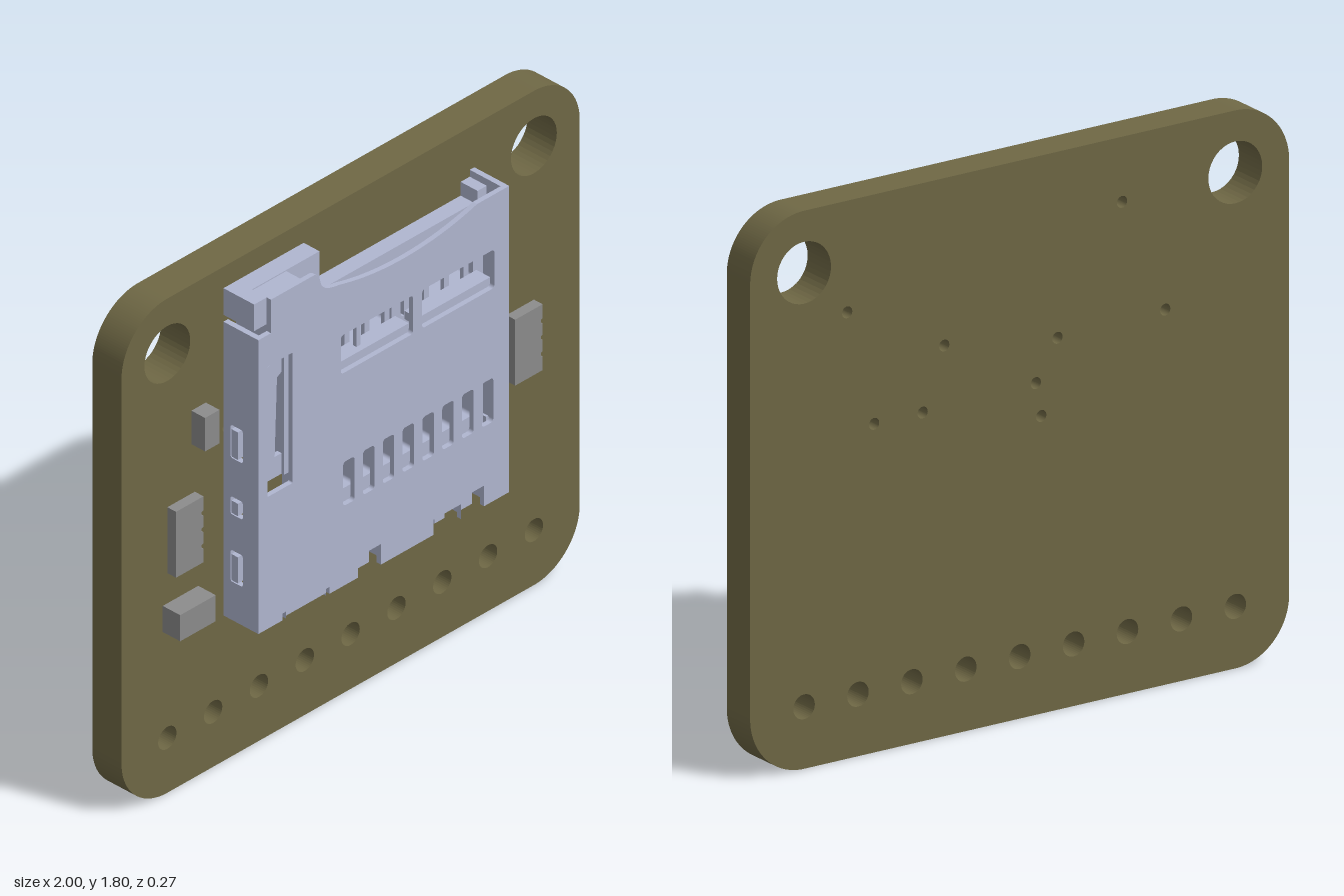
import * as THREE from 'three';

const mat = (color) => new THREE.MeshStandardMaterial({ color, side: THREE.DoubleSide });
const BACK = -0.136, FACE = -0.012, TOP = 0.136;

export function createModel() {
  const root = new THREE.Group();
  root.name = 'cardReaderBoard';
  const olive = mat(0x6f6845), metal = mat(0xb0b6d0), grey = mat(0x8c8c8c);

  const add = (parent, name, geometry, material) => {
    const mesh = new THREE.Mesh(geometry, material);
    mesh.name = name;
    parent.add(mesh);
    return mesh;
  };
  // Box given by its limits on each axis
  const box = (parent, name, x0, x1, y0, y1, z0, z1, material = metal) => {
    const mesh = add(parent, name, new THREE.BoxGeometry(x1 - x0, y1 - y0, z1 - z0), material);
    mesh.position.set((x0 + x1) / 2, (y0 + y1) / 2, (z0 + z1) / 2);
    return mesh;
  };
  const plate = (shape, z0, z1) => new THREE.ExtrudeGeometry(shape, {
    depth: z1 - z0, bevelEnabled: false, curveSegments: 20,
  }).translate(0, 0, z0);
  const rounded = (path, x0, x1, y0, y1, r) => {
    path.moveTo(x0 + r, y0).lineTo(x1 - r, y0);
    path.absarc(x1 - r, y0 + r, r, -Math.PI / 2, 0, false);
    path.absarc(x1 - r, y1 - r, r, 0, Math.PI / 2, false);
    path.absarc(x0 + r, y1 - r, r, Math.PI / 2, Math.PI, false);
    path.absarc(x0 + r, y0 + r, r, Math.PI, Math.PI * 1.5, false);
    return path;
  };
  const slot = (shape, x0, x1, y0, y1, r = 0.012) =>
    shape.holes.push(rounded(new THREE.Path(), x0, x1, y0, y1, r));

  // Circuit board with mounting holes, pin holes and vias
  const boardShape = rounded(new THREE.Shape(), -1, 1, 0, 1.8, 0.2);
  const drill = (x, y, r) =>
    boardShape.holes.push(new THREE.Path().absarc(x, y, r, 0, Math.PI * 2, true));
  for (const x of [-0.8, 0.8]) drill(x, 1.6, 0.1);
  for (let i = 0; i < 9; i++) drill(-0.8 + i * 0.2, 0.2, 0.04);
  const vias = [[0.64, 1.44], [-0.38, 1.59], [0.28, 1.26], [0.54, 1.06], [0.36, 1.06],
    [-0.14, 1.2], [-0.06, 1.07], [-0.08, 0.96], [-0.54, 1.21]];
  for (const [x, y] of vias) drill(x, y, 0.019);
  add(root, 'circuitBoard', plate(boardShape, BACK, FACE), olive);

  // Card socket
  const socket = new THREE.Group();
  socket.name = 'cardSocket';
  root.add(socket);
  const pinX = Array.from({ length: 8 }, (_, i) => -0.16 + i * 0.0865);

  // Pressed metal cover: notched bottom edge, curved card mouth
  const cover = new THREE.Shape();
  cover.moveTo(-0.555, 0.53);
  const notches = [[-0.45, -0.435, 0.555], [-0.435, -0.26, 0.54], [-0.26, -0.245, 0.555],
    [-0.12, -0.02, 0.605], [0.21, 0.33, 0.585], [0.33, 0.43, 0.605]];
  for (const [x0, x1, y] of notches) {
    cover.lineTo(x0, 0.53).lineTo(x0, y).lineTo(x1, y).lineTo(x1, 0.53);
  }
  cover.lineTo(0.54, 0.53).lineTo(0.54, 1.645).lineTo(0.4, 1.645);
  cover.bezierCurveTo(0.2, 1.585, -0.02, 1.585, -0.2, 1.635);
  cover.bezierCurveTo(-0.32, 1.65, -0.26, 1.7, -0.31, 1.722);
  cover.lineTo(-0.5, 1.722).lineTo(-0.5, 1.6).lineTo(-0.555, 1.6).closePath();
  slot(cover, -0.195, 0.12, 1.305, 1.445);
  slot(cover, 0.16, 0.475, 1.305, 1.445);
  for (const x of pinX) slot(cover, x - 0.025, x + 0.025, 0.82, 0.98);
  slot(cover, -0.515, -0.405, 1.01, 1.485, 0.005);
  add(socket, 'socketCover', plate(cover, 0.118, TOP), metal);

  // Side walls with latch windows
  const latches = [[0.67, 0.785], [0.915, 0.98], [1.12, 1.24]];
  const wall = (name, outerX, top) => {
    const shape = new THREE.Shape();
    shape.moveTo(FACE, 0.53).lineTo(0.118, 0.53).lineTo(0.118, top).lineTo(FACE, top).closePath();
    for (const [y0, y1] of latches) slot(shape, 0.018, 0.07, y0, y1, 0.008);
    add(socket, name, plate(shape, 0, 0.02).rotateY(-Math.PI / 2).translate(outerX, 0, 0), metal);
  };
  wall('leftWall', 0.54, 1.645);
  wall('rightWall', -0.535, 1.6);
  for (const [y0, y1] of latches) {
    box(socket, 'leftLatch', 0.522, 0.546, y0 + 0.01, y1 - 0.01, 0.028, 0.055);
    box(socket, 'rightLatch', -0.561, -0.537, y0 + 0.01, y1 - 0.01, 0.028, 0.055);
  }

  // Floor frame with openings below the cover windows
  const floor = rounded(new THREE.Shape(), -0.3, 0.52, 0.55, 1.57, 0.005);
  slot(floor, -0.195, 0.12, 1.305, 1.46);
  slot(floor, 0.16, 0.475, 1.305, 1.46);
  for (const x of pinX) slot(floor, x - 0.028, x + 0.028, 0.8, 1.0);
  add(socket, 'floorFrame', plate(floor, FACE, 0.045), metal);

  // Rear wall, open at the notches
  for (const [x0, x1] of [[-0.535, -0.12], [-0.02, 0.21], [0.43, 0.52]]) {
    box(socket, 'rearWall', x0, x1, 0.555, 0.61, FACE, 0.118);
  }
  box(socket, 'rearTab', -0.1, -0.035, 0.53, 0.59, FACE, 0.1);
  box(socket, 'rearTab', 0.25, 0.295, 0.535, 0.565, FACE, 0.1);
  box(socket, 'rearTab', 0.35, 0.415, 0.53, 0.59, FACE, 0.1);

  // Spring contacts, bent up at the tip
  for (const x of pinX) {
    box(socket, 'contactStrip', x - 0.011, x + 0.011, 1.0, 1.46, 0.03, 0.045);
    box(socket, 'contactTip', x - 0.017, x + 0.017, 0.92, 1.02, 0.055, 0.07).rotation.x = 0.25;
  }
  // Bent flaps in the upper windows
  for (const x of [-0.195, 0.16]) {
    box(socket, 'windowFlap', x, x + 0.315, 1.305, 1.335, 0.06, 0.118);
  }
  box(socket, 'detectArm', -0.085, -0.068, 1.31, 1.42, 0.08, 0.095);

  // Ejector block, spring and slider at the card mouth
  box(socket, 'ejectorBase', -0.5, -0.205, 1.5, 1.722, FACE, 0.055);
  box(socket, 'ejectorBlock', -0.5, -0.35, 1.5, 1.718, 0.055, 0.118);
  box(socket, 'ejectorSlider', -0.35, -0.285, 1.1, 1.64, 0.05, 0.118);
  box(socket, 'mouthPost', -0.555, -0.5, 1.625, 1.722, FACE, 0.118);
  box(socket, 'mouthPost', 0.48, 0.52, 1.57, 1.62, FACE, 0.06);
  const spring = new THREE.Shape();
  spring.moveTo(-0.5, 1.04).lineTo(-0.42, 1.04).lineTo(-0.42, 1.115).lineTo(-0.455, 1.115)
    .lineTo(-0.445, 1.4).lineTo(-0.41, 1.42).lineTo(-0.41, 1.48).lineTo(-0.5, 1.45).closePath();
  add(socket, 'latchSpring', plate(spring, 0.09, 0.108), metal);
  box(socket, 'springRail', -0.425, -0.4, 1.04, 1.49, 0.06, 0.118);

  // Resistor arrays with notched side
  for (const x of [-0.8, 0.68]) {
    const s = new THREE.Shape();
    s.moveTo(x, 0.8).lineTo(x + 0.12, 0.8);
    for (let i = 0; i < 3; i++) {
      const y = 0.86 + i * 0.06;
      s.lineTo(x + 0.12, y - 0.01).lineTo(x + 0.112, y - 0.006)
        .lineTo(x + 0.112, y + 0.006).lineTo(x + 0.12, y + 0.01);
    }
    s.lineTo(x + 0.12, 1.04).lineTo(x, 1.04).closePath();
    add(root, 'resistorArray', plate(s, FACE, 0.025), grey);
  }
  // Small chip parts
  box(root, 'capacitor', -0.82, -0.665, 0.595, 0.69, FACE, 0.062, grey);
  box(root, 'resistor', -0.695, -0.632, 1.22, 1.342, FACE, 0.046, grey);

  return root;
}
